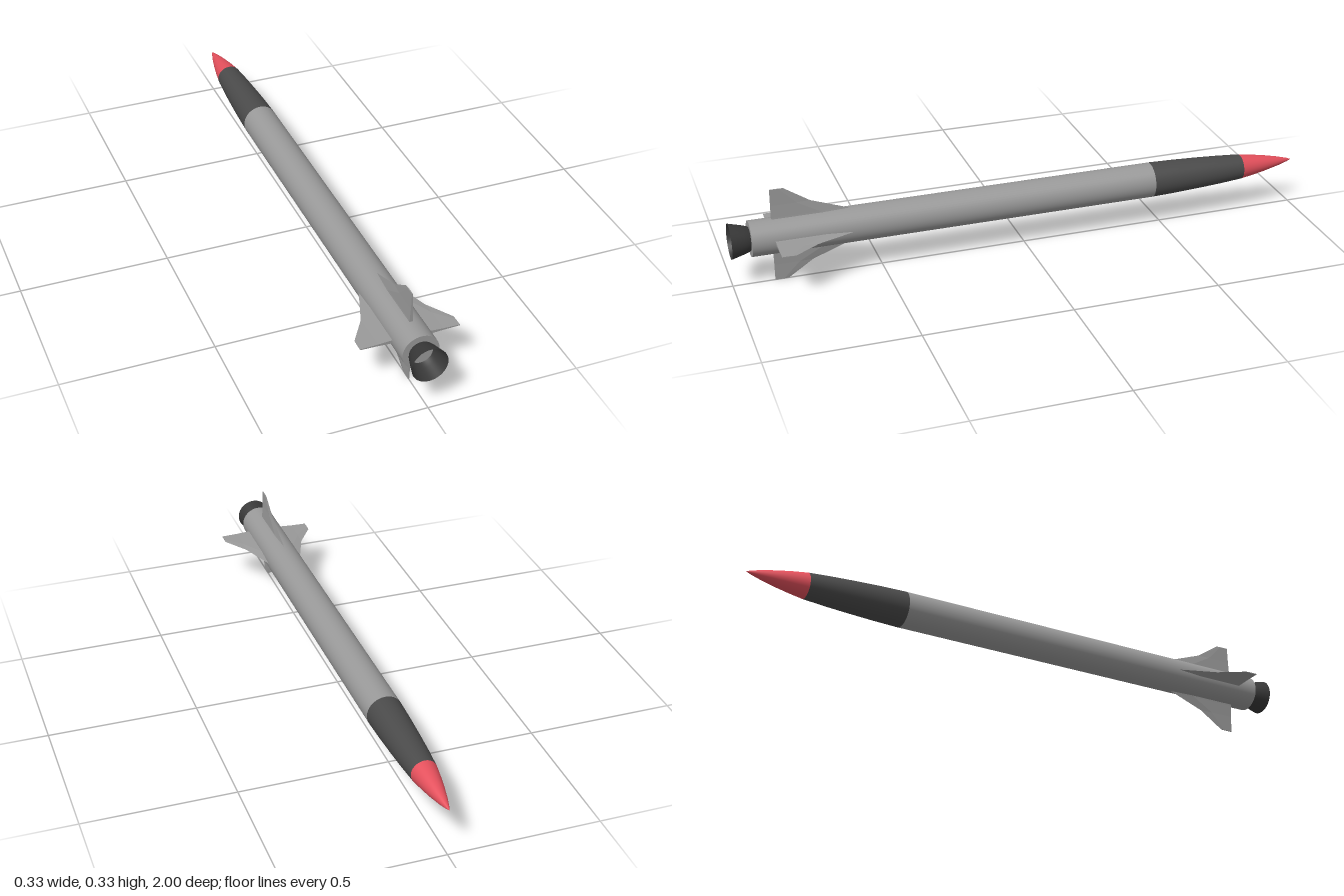
import * as THREE from 'three';

const SEG = 48;
const AXIS_Y = 0.165;

const paint = (color) => new THREE.MeshStandardMaterial({ color });

// Surface of revolution around z; profile is [z, radius] from the rear to the tip
function turned(name, profile, material) {
  const points = profile.map(([z, r]) => new THREE.Vector2(r, -z));
  const geometry = new THREE.LatheGeometry(points, SEG).rotateX(-Math.PI / 2);
  const mesh = new THREE.Mesh(geometry, material);
  mesh.name = name;
  return mesh;
}

// Fin growing along +x: wedge sections that thin out from root to tip
function finGeometry() {
  const rear = 0.86;
  const stations = [ // radius, leading edge z, half thickness
    [0.05, 0.575, 0.007], [0.065, 0.615, 0.0055], [0.107, 0.73, 0.003], [0.163, 0.815, 0.0015],
  ];
  const rings = stations.map(([x, lead, t]) => {
    const mid = lead + (rear - lead) * 0.35;
    return [[0, lead], [t, mid], [t, rear], [-t, rear], [-t, mid]].map(([y, z]) => [x, y, z]);
  });
  const pos = [];
  const tri = (a, b, c) => pos.push(...a, ...b, ...c);
  for (let s = 0; s < rings.length - 1; s++) {
    for (let i = 0; i < 5; i++) {
      const j = (i + 1) % 5;
      tri(rings[s][i], rings[s][j], rings[s + 1][j]);
      tri(rings[s][i], rings[s + 1][j], rings[s + 1][i]);
    }
  }
  const tip = rings[rings.length - 1];
  for (let i = 1; i < 4; i++) tri(tip[0], tip[i], tip[i + 1]);
  const geometry = new THREE.BufferGeometry();
  geometry.setAttribute('position', new THREE.Float32BufferAttribute(pos, 3));
  geometry.computeVertexNormals();
  return geometry;
}

export function createModel() {
  const model = new THREE.Group();
  model.name = 'rocket';
  const hull = new THREE.Group();
  hull.name = 'hull';
  hull.position.y = AXIS_Y;
  model.add(hull);

  const grey = paint(0x999999);
  const dark = paint(0x4a4a4a);
  const red = paint(0xe4505c);
  const black = paint(0x383838);
  black.side = THREE.DoubleSide;

  // Main tube and its flat rear plate
  hull.add(turned('bodyTube', [[0.935, 0.06], [-0.46, 0.06]], grey));
  hull.add(turned('rearPlate', [[0.935, 0], [0.935, 0.06]], grey));

  // Tapered dark section and pointed tip
  hull.add(turned('noseSection',
    [[-0.46, 0.06], [-0.55, 0.0575], [-0.64, 0.0535], [-0.72, 0.049], [-0.8, 0.043]], dark));
  hull.add(turned('noseTip',
    [[-0.8, 0.043], [-0.85, 0.0355], [-0.9, 0.0265], [-0.95, 0.0155], [-0.985, 0.006], [-1, 0]], red));

  // Open flared nozzle
  hull.add(turned('nozzle',
    [[1, 0.059], [0.975, 0.0525], [0.955, 0.047], [0.94, 0.042], [0.933, 0.038]], black));

  // Four fins in a cross
  const geometry = finGeometry();
  for (let i = 0; i < 4; i++) {
    const fin = new THREE.Mesh(geometry, grey);
    fin.name = `fin${i + 1}`;
    fin.rotation.z = i * Math.PI / 2;
    hull.add(fin);
  }
  return model;
}
